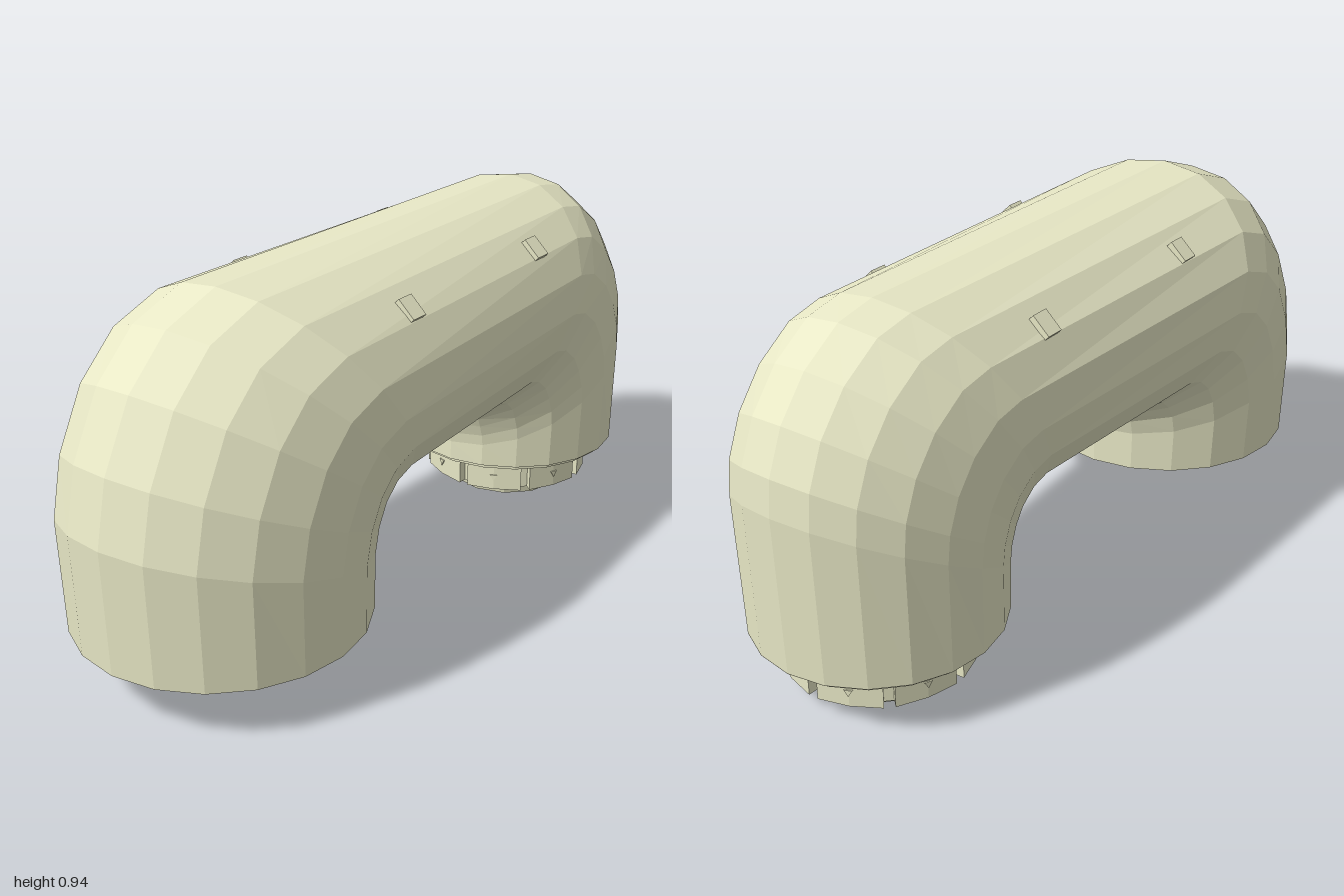
import * as THREE from 'three';

const SIDES = 20;
const material = new THREE.MeshStandardMaterial({ color: 0xe8e8c6, flatShading: true, side: THREE.DoubleSide });

function add(parent, name, geometry, x = 0, y = 0, z = 0) {
  const mesh = new THREE.Mesh(geometry, material);
  mesh.name = name;
  mesh.position.set(x, y, z);
  parent.add(mesh);
  return mesh;
}

const lathe = (points, sides) =>
  new THREE.LatheGeometry(points.map(([r, y]) => new THREE.Vector2(r, y)), sides);

// Elliptical rings strung between an outer and an inner point of the bend
function sweep(sections) {
  const positions = [], index = [];
  sections.forEach(([ox, oy, ix, iy, halfWidth], j) => {
    for (let i = 0; i < SIDES; i++) {
      const a = (i / SIDES) * Math.PI * 2, c = Math.cos(a) / 2;
      positions.push((ox + ix) / 2 + c * (ox - ix), (oy + iy) / 2 + c * (oy - iy), Math.sin(a) * halfWidth);
      if (j === sections.length - 1) continue;
      const n = (i + 1) % SIDES, p = j * SIDES, q = p + SIDES;
      index.push(p + i, p + n, q + i, p + n, q + n, q + i);
    }
  });
  const geometry = new THREE.BufferGeometry();
  geometry.setAttribute('position', new THREE.Float32BufferAttribute(positions, 3));
  geometry.setIndex(index);
  geometry.computeVertexNormals();
  return geometry;
}

export function createModel() {
  const model = new THREE.Group();
  model.name = 'pipeBend';

  // Tapering U-shaped shell: outer x, outer y, inner x, inner y, half width
  add(model, 'pipeShell', sweep([
    [-0.99, 0.135, -0.26, 0.135, 0.365],
    [-1.0, 0.45, -0.26, 0.24, 0.37],
    [-0.965, 0.61, -0.25, 0.28, 0.37],
    [-0.88, 0.77, -0.235, 0.305, 0.37],
    [-0.76, 0.88, -0.21, 0.325, 0.37],
    [-0.6, 0.935, -0.18, 0.335, 0.37],
    [0.64, 0.94, 0.28, 0.335, 0.325],
    [0.75, 0.92, 0.31, 0.32, 0.32],
    [0.86, 0.85, 0.335, 0.295, 0.317],
    [0.94, 0.755, 0.345, 0.27, 0.315],
    [0.985, 0.65, 0.355, 0.24, 0.315],
    [0.995, 0.56, 0.36, 0.21, 0.315],
    [0.985, 0.155, 0.36, 0.155, 0.3125],
  ]));

  // Wide open end: thin rim around a shallow recess
  add(model, 'openEndRim', lathe([[0.365, 0.135], [0.34, 0.135], [0.34, 0.185], [0, 0.185]], SIDES), -0.625);

  // Narrow end: closing face and stepped neck
  const fitting = new THREE.Group();
  fitting.name = 'endFitting';
  fitting.position.x = 0.673;
  model.add(fitting);
  add(fitting, 'neck', lathe([[0.3125, 0.155], [0.295, 0.155], [0.295, 0.14], [0, 0.14]], SIDES));

  // Notched collar with eight lugs
  const outline = [];
  const lugs = 8, step = (Math.PI * 2) / lugs;
  for (let i = 0; i < lugs; i++) {
    for (const [t, r] of [[-0.43, 0.24], [0, 0.236], [0.43, 0.24], [0.43, 0.215], [0.57, 0.215]]) {
      const a = (i + 0.5 + t) * step;
      outline.push(new THREE.Vector2(Math.cos(a) * r, Math.sin(a) * r));
    }
  }
  const collar = new THREE.ExtrudeGeometry(new THREE.Shape(outline), { depth: 0.095, bevelEnabled: false });
  collar.rotateX(-Math.PI / 2);
  add(fitting, 'collar', collar, 0, 0.045, 0);
  for (let i = 0; i < lugs; i++) {
    const a = (i + 0.5) * step;
    const mark = add(fitting, 'collarMark', new THREE.CylinderGeometry(0.012, 0.012, 0.008, 3),
      Math.sin(a) * 0.235, 0.085, Math.cos(a) * 0.235);
    mark.rotation.set(Math.PI / 2, a, 0, 'YXZ');
  }

  // Hollow nozzle with a small hub and spokes inside
  add(fitting, 'nozzle', lathe([[0.175, 0.05], [0.165, 0], [0.12, 0], [0.11, 0.04], [0, 0.04]], 12));
  add(fitting, 'nozzleHub', new THREE.CylinderGeometry(0.035, 0.035, 0.03, 8), 0, 0.025, 0);
  for (let i = 0; i < 3; i++) {
    add(fitting, 'nozzleSpoke', new THREE.BoxGeometry(0.22, 0.02, 0.018), 0, 0.03, 0).rotation.y = (i * Math.PI) / 3;
  }

  // Small studs high on both flanks
  for (const side of [-1, 1]) {
    for (const [x, z] of [[-0.235, 0.264], [0.35, 0.25]]) {
      const stud = add(model, 'sideStud', new THREE.BoxGeometry(0.05, 0.06, 0.03), x, 0.832, z * side);
      stud.rotation.x = -side * 0.8;
    }
  }
  return model;
}
